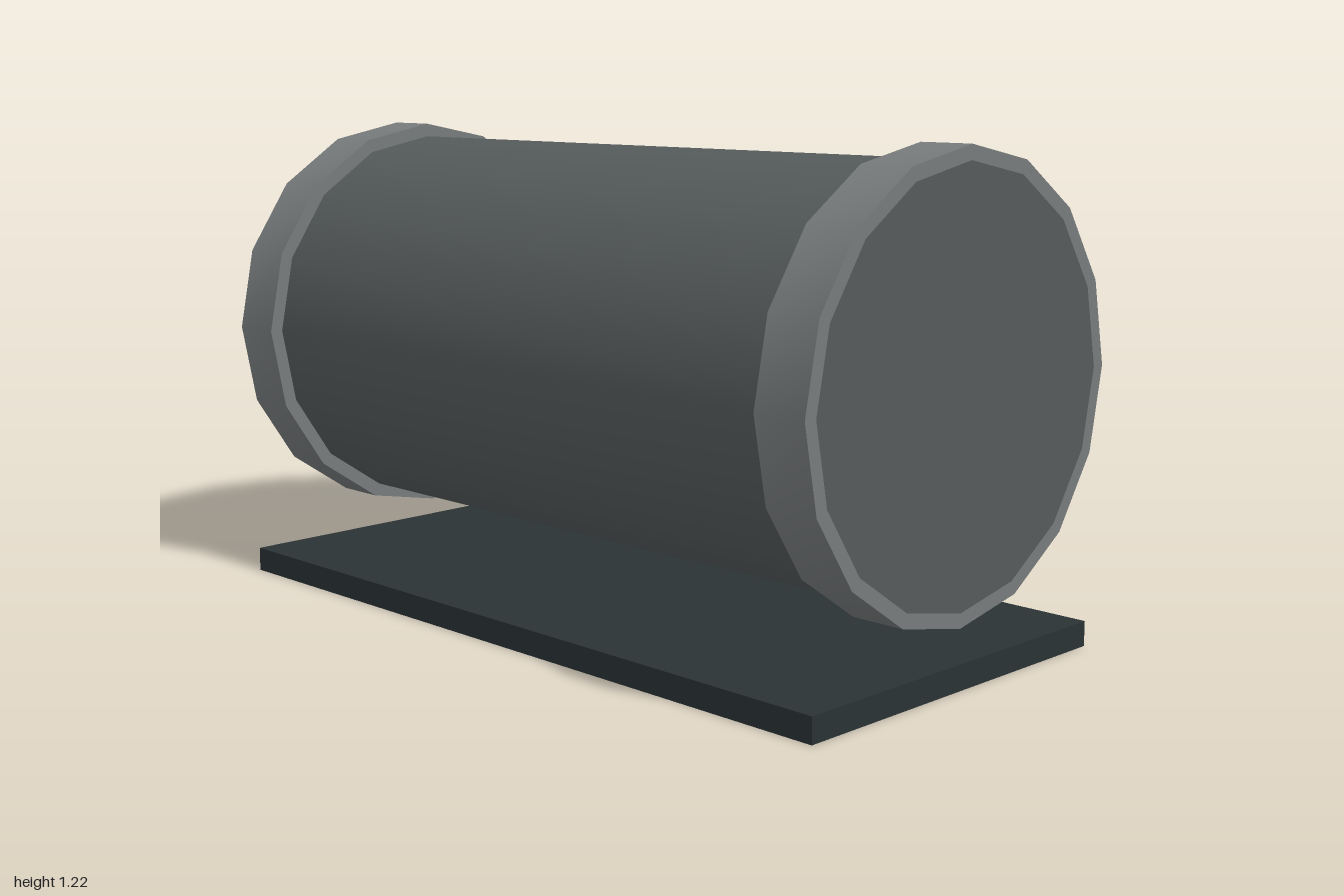
import * as THREE from 'three';
import { toCreasedNormals } from 'three/addons/utils/BufferGeometryUtils.js';

const SIDES = 16;
const AXIS_Y = 0.68;
const RADIUS = 0.5;
const RIM_RADIUS = 0.535;
const RIM_DEPTH = 0.138;

export function createModel() {
  const model = new THREE.Group();
  model.name = 'drumOnPlate';

  const add = (name, geometry, color, y, z = 0) => {
    const mesh = new THREE.Mesh(geometry, new THREE.MeshStandardMaterial({ color }));
    mesh.name = name;
    mesh.position.set(0, y, z);
    model.add(mesh);
  };

  // flat base plate
  add('basePlate', new THREE.BoxGeometry(1, 0.062, 2), 0x2a3235, 0.031);

  // drum lying along z, with a corner at the top
  const drum = new THREE.CylinderGeometry(RADIUS, RADIUS, 2, SIDES);
  drum.rotateX(Math.PI / 2);
  add('drum', drum, 0x555a5b, AXIS_Y);

  // raised rims, flush with the drum ends
  const h = RIM_DEPTH / 2;
  const profile = [[RADIUS, -h], [RIM_RADIUS, -h], [RIM_RADIUS, h], [RADIUS, h]]
    .map(([r, y]) => new THREE.Vector2(r, y));
  const rim = toCreasedNormals(new THREE.LatheGeometry(profile, SIDES), 0.6);
  rim.rotateX(Math.PI / 2);
  add('frontRim', rim, 0x777b7c, AXIS_Y, 1 - h);
  add('backRim', rim, 0x777b7c, AXIS_Y, h - 1);

  return model;
}
